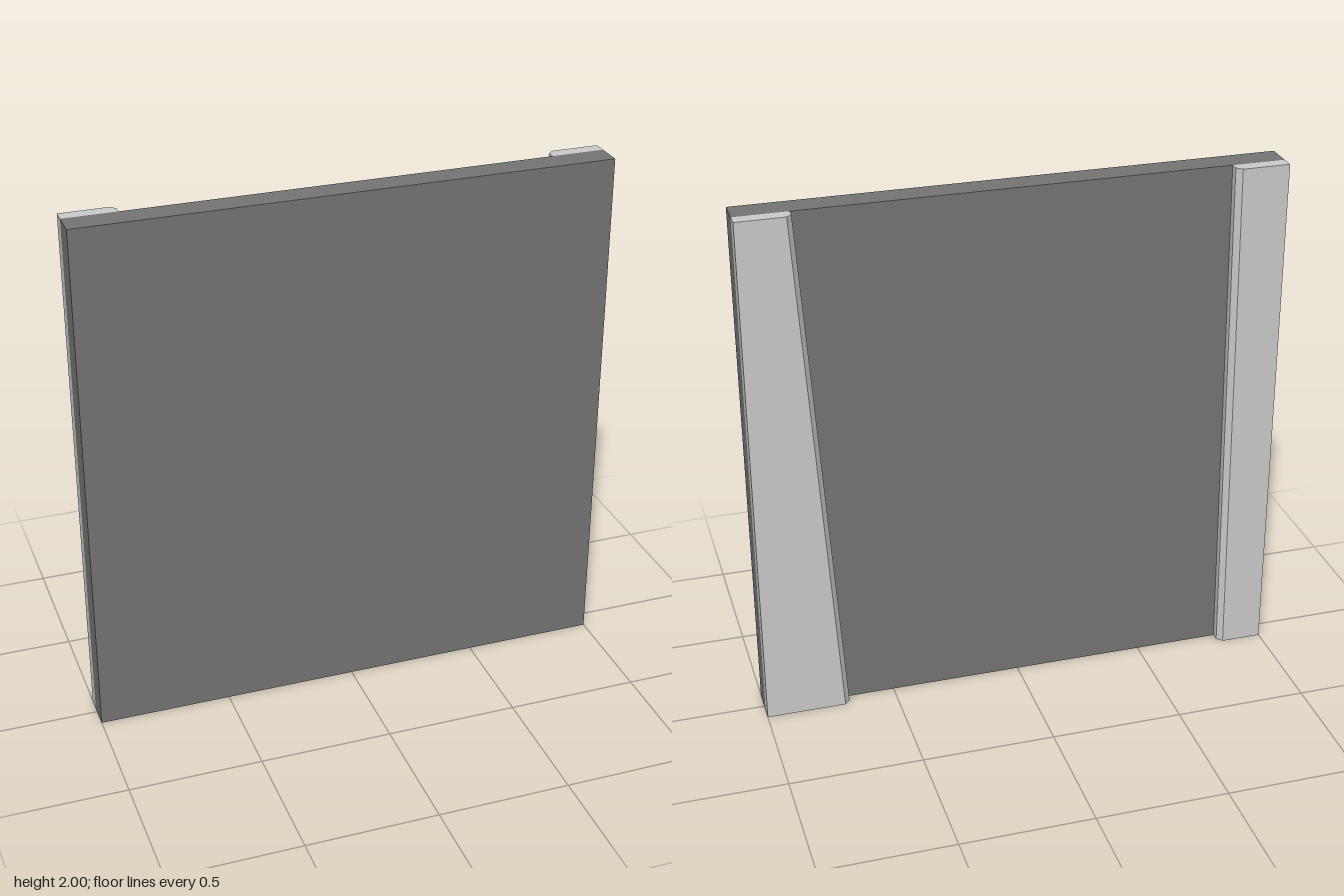
import * as THREE from 'three';

const HEIGHT = 2;
const BACK = -0.075, JOIN = -0.025, FRONT = 0.075;

// Rear strip with a chamfered inner edge; its width changes from bottom to top
function makeStrip(name, side, bottomWidth, topWidth, material) {
  const shape = new THREE.Shape([
    [1, -JOIN],
    [1, -BACK],
    [1 - topWidth + 0.02, -BACK],
    [1 - topWidth, 0.055],
    [1 - topWidth, -JOIN],
  ].map(([x, y]) => new THREE.Vector2(side * x, y)));
  const geometry = new THREE.ExtrudeGeometry(shape, { depth: HEIGHT, bevelEnabled: false });
  geometry.rotateX(-Math.PI / 2);

  // Slide the inner edge sideways towards the bottom
  const pos = geometry.attributes.position;
  for (let i = 0; i < pos.count; i++) {
    const x = pos.getX(i);
    if (Math.abs(x) < 0.99) {
      const t = 1 - pos.getY(i) / HEIGHT;
      pos.setX(i, x - side * (bottomWidth - topWidth) * t);
    }
  }
  geometry.computeVertexNormals();
  const mesh = new THREE.Mesh(geometry, material);
  mesh.name = name;
  return mesh;
}

export function createModel() {
  const model = new THREE.Group();
  model.name = 'panelWithStrips';
  const dark = new THREE.MeshStandardMaterial({ color: 0x757575 });
  const light = new THREE.MeshStandardMaterial({ color: 0xcccccc });

  // Square slab
  const panel = new THREE.Mesh(new THREE.BoxGeometry(2, HEIGHT, FRONT - JOIN), dark);
  panel.name = 'panel';
  panel.position.set(0, HEIGHT / 2, (FRONT + JOIN) / 2);

  // Tapered strips on the rear
  model.add(
    panel,
    makeStrip('leftStrip', 1, 0.32, 0.2, light),
    makeStrip('rightStrip', -1, 0.175, 0.2, light),
  );
  return model;
}
